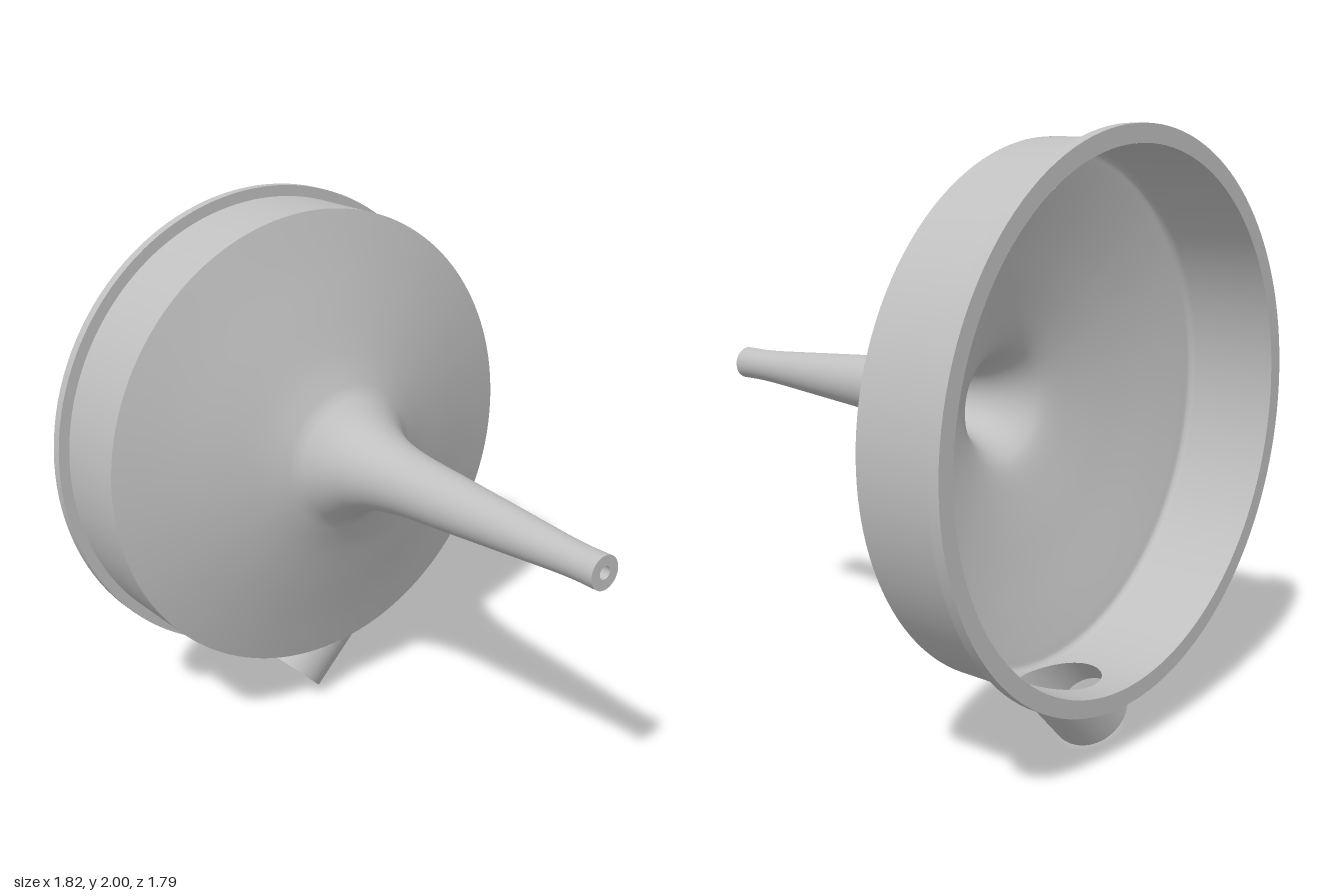
import * as THREE from 'three';
import { ParametricGeometry } from 'three/addons/geometries/ParametricGeometry.js';

const AXIS_Y = 1.092;                       // height of the funnel axis
const OUT = 0.868, IN = 0.85, RIM = 0.908;  // drum wall and rim radii
const PORT_Z = -0.70, PORT_B = 0.65, PORT_END = -0.756; // side port placement
const PORT_R = 0.138, BORE_R = 0.106;
const PHI0 = -0.3, PHI1 = 0.5;              // wall sector holding the port

export function createModel() {
  const group = new THREE.Group();
  const grey = new THREE.MeshStandardMaterial({ color: 0xc0c0c0, side: THREE.DoubleSide });
  grey.name = 'lightGrey';

  const add = (name, geometry) => {
    const mesh = new THREE.Mesh(geometry, grey);
    mesh.name = name;
    mesh.position.y = AXIS_Y;
    group.add(mesh);
  };
  // Surface of revolution about z from [radius, z] points
  const turn = (name, pts, start = 0, length = Math.PI * 2) =>
    add(name, new THREE.LatheGeometry(pts.map(p => new THREE.Vector2(...p)), 128, start, length).rotateX(Math.PI / 2));
  const spline = pts => new THREE.SplineCurve(pts.map(p => new THREE.Vector2(...p)))
    .getPoints(100).map(p => [p.x, p.y]);

  // Cone flowing into the long stem
  turn('coneAndStem', spline([[0.868, -0.555], [0.7, -0.507], [0.55, -0.461], [0.38, -0.408],
    [0.285, -0.37], [0.25, -0.35], [0.226, -0.325], [0.19, -0.275], [0.163, -0.22], [0.135, -0.13],
    [0.115, 0], [0.1, 0.2], [0.08, 0.47], [0.06, 0.75], [0.0585, 0.895]]));
  turn('stemTip', [[0.0585, 0.895], [0.022, 0.895]]);

  // Inside of the cone, rounded into the drum wall, and the bore through the stem
  turn('innerCone', spline([[0.022, 0.895], [0.03, 0.7], [0.05, 0.35], [0.072, 0], [0.085, -0.13],
    [0.105, -0.22], [0.13, -0.29], [0.175, -0.36], [0.235, -0.402], [0.38, -0.446], [0.55, -0.491],
    [0.7, -0.533], [0.8, -0.56], [0.832, -0.568], [0.8417, -0.5734], [0.8478, -0.5818], [IN, -0.592]]));

  // Rim flange
  turn('rimEdge', [[RIM, -0.895], [RIM, -0.857]]);
  turn('rimFront', [[RIM, -0.857], [OUT, -0.857]]);
  turn('rimBack', [[IN, -0.895], [RIM, -0.895]]);

  // Point on the port: a runs along its slanted axis, b across it
  const onPort = (a, b, z, p) => p.set((a + b) * Math.SQRT1_2, (a - b) * Math.SQRT1_2, z);
  const wallA = (r, b) => -Math.sqrt(r * r - b * b);

  // Drum wall: a plain sweep plus a sector pierced by the port
  const wall = (name, r, hole, z0, z1) => {
    turn(name, [[r, z0], [r, z1]], PHI1, Math.PI * 2 - (PHI1 - PHI0));
    const edge = new THREE.Vector3();
    add(name + 'PortSector', new ParametricGeometry((u, v, p) => {
      const t = u * Math.PI * 2, c = Math.cos(t), s = Math.sin(t);
      const b = PORT_B + hole * c;
      onPort(wallA(r, b), b, PORT_Z + hole * s, edge);
      const m = Math.max(Math.abs(c), Math.abs(s));
      const phi = THREE.MathUtils.lerp(Math.atan2(edge.x, -edge.y), THREE.MathUtils.lerp(PHI0, PHI1, (c / m + 1) / 2), v);
      const z = THREE.MathUtils.lerp(edge.z, THREE.MathUtils.lerp(z0, z1, (s / m + 1) / 2), v);
      p.set(r * Math.sin(phi), -r * Math.cos(phi), z);
    }, 64, 6));
  };
  wall('drumOuterWall', OUT, PORT_R, -0.857, -0.555);
  wall('drumInnerWall', IN, BORE_R, -0.895, -0.592);

  // Side port: tube and bore trimmed to the drum, and the ring at the outlet
  const tube = (name, radius, r) => add(name, new ParametricGeometry((u, v, p) => {
    const t = u * Math.PI * 2, b = PORT_B + radius * Math.cos(t);
    onPort(THREE.MathUtils.lerp(PORT_END, wallA(r, b), v), b, PORT_Z + radius * Math.sin(t), p);
  }, 64, 4));
  tube('portTube', PORT_R, OUT);
  tube('portBore', BORE_R, IN);
  add('portOutletRing', new ParametricGeometry((u, v, p) => {
    const t = u * Math.PI * 2, radius = THREE.MathUtils.lerp(PORT_R, BORE_R, v);
    onPort(PORT_END, PORT_B + radius * Math.cos(t), PORT_Z + radius * Math.sin(t), p);
  }, 64, 1));

  return group;
}
